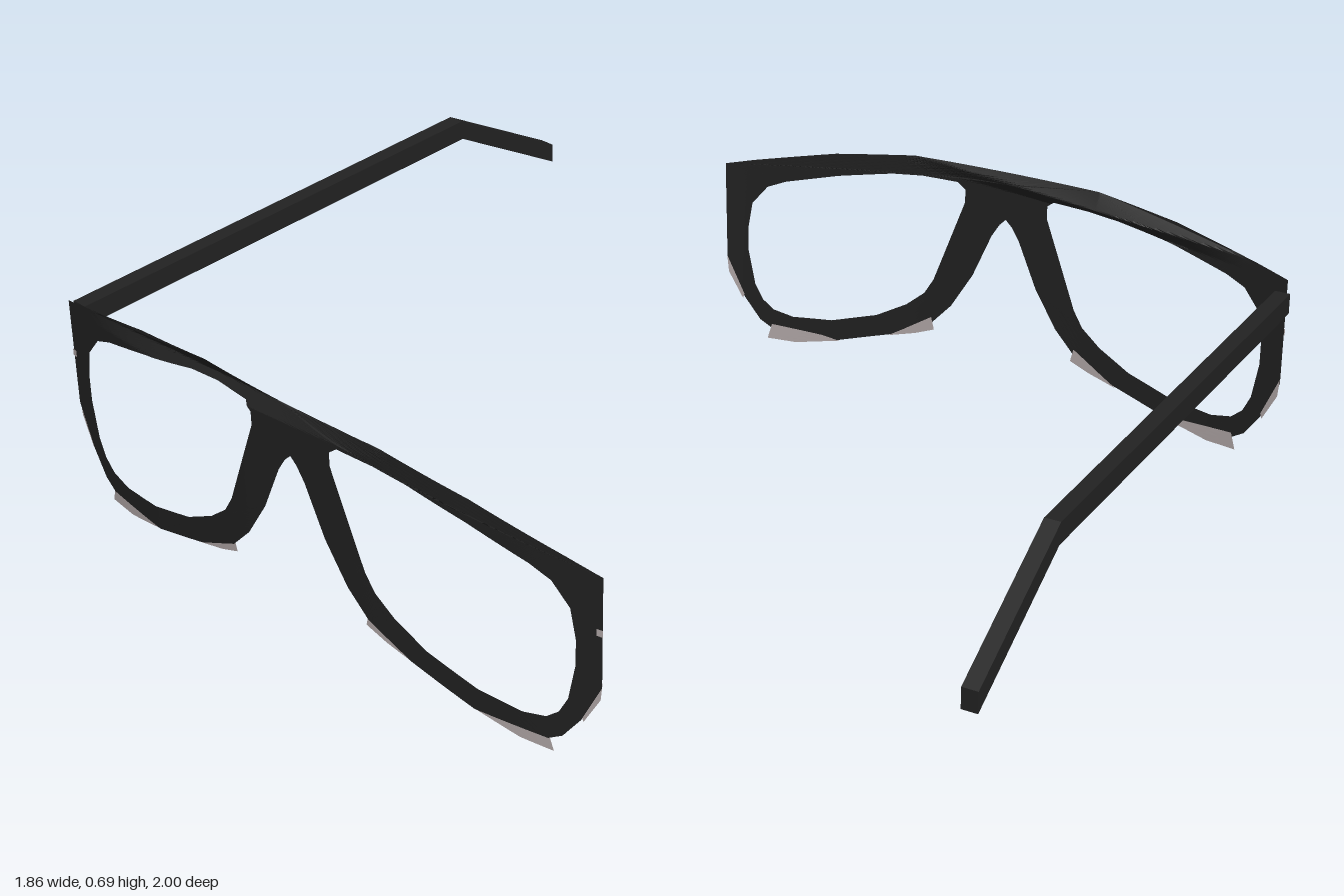
import * as THREE from 'three';

const black = new THREE.MeshStandardMaterial({ color: 0x222222, side: THREE.DoubleSide });
black.name = 'black';
const grey = new THREE.MeshStandardMaterial({ color: 0xb5abab, side: THREE.DoubleSide });
grey.name = 'warmGrey';

const CENTRE = 0.005; // mirror axis of the front
const mirror = (pts) => pts.map(([x, y]) => [2 * CENTRE - x, y]).reverse();
const vectors = (pts) => pts.map(([x, y]) => new THREE.Vector2(x, y));

// Depth of the wrapped front, with a shallow crease along the brow
function depth(x, y) {
  let z = 1 - 0.105 * x * x;
  if (x > -0.78 && x < 0.3) {
    const crease = 0.6 + (x + 0.78) * 0.0787;
    const top = x < -0.3 ? 0.685 + (x + 0.3) * 0.177 : 0.685;
    const reach = y > crease ? Math.max(top - crease, 0.004) : 0.035;
    const w = Math.max(0, 1 - Math.abs(y - crease) / reach);
    z -= w * 0.105 * (x + 0.78) * (0.3 - x);
  }
  return z;
}

// Split every triangle in four, several times, then bend the flat sheet
function curvedSheet(outline, holes = [], levels = 4, offset = 0) {
  const shape = new THREE.Shape(vectors(outline));
  holes.forEach((h) => shape.holes.push(new THREE.Path(vectors(h))));
  const flat = new THREE.ShapeGeometry(shape).toNonIndexed().getAttribute('position');
  let tris = [];
  for (let i = 0; i < flat.count; i += 3) {
    tris.push([0, 1, 2].map((k) => new THREE.Vector2(flat.getX(i + k), flat.getY(i + k))));
  }
  const mid = (a, b) => a.clone().add(b).multiplyScalar(0.5);
  for (let n = 0; n < levels; n++) {
    tris = tris.flatMap(([a, b, c]) => {
      const ab = mid(a, b), bc = mid(b, c), ca = mid(c, a);
      return [[a, ab, ca], [ab, b, bc], [ca, bc, c], [ab, bc, ca]];
    });
  }
  const pos = tris.flat().flatMap((p) => [p.x, p.y, depth(p.x, p.y) + offset]);
  const geo = new THREE.BufferGeometry();
  geo.setAttribute('position', new THREE.Float32BufferAttribute(pos, 3));
  geo.computeVertexNormals();
  return geo;
}

export function createModel() {
  const model = new THREE.Group();
  model.name = 'glasses';
  const add = (name, geo, mat) => {
    const mesh = new THREE.Mesh(geo, mat);
    mesh.name = name;
    model.add(mesh);
  };

  // Front frame: half outline from brow round to the nose bridge, mirrored
  const half = [
    [-0.295, 0.685], [-0.555, 0.65], [-0.82, 0.593], [-0.915, 0.57], [-0.915, 0.25],
    [-0.86, 0.13], [-0.81, 0.06], [-0.77, 0.035], [-0.56, 0.028], [-0.37, 0.085],
    [-0.235, 0.15], [-0.17, 0.22], [-0.1, 0.335], [-0.04, 0.475], [-0.015, 0.515],
  ];
  const lens = [
    [-0.845, 0.365], [-0.83, 0.45], [-0.78, 0.51], [-0.72, 0.535], [-0.545, 0.58],
    [-0.37, 0.615], [-0.27, 0.625], [-0.155, 0.625], [-0.13, 0.605], [-0.13, 0.565],
    [-0.23, 0.295], [-0.26, 0.245], [-0.32, 0.195], [-0.42, 0.14], [-0.57, 0.095],
    [-0.7, 0.085], [-0.765, 0.1], [-0.8, 0.13], [-0.825, 0.18], [-0.845, 0.29],
  ];
  const outline = [...half, [CENTRE, 0.535], ...mirror(half)];
  add('frontFrame', curvedSheet(outline, [lens, mirror(lens)]), black);

  // Grey slivers showing under the rims and at the hinges
  const trims = {
    lowerTrim: [[-0.77, 0.05], [-0.785, 0], [-0.69, 0], [-0.545, 0.03], [-0.6, 0.04]],
    noseTrim: [[-0.235, 0.17], [-0.225, 0.13], [-0.29, 0.105], [-0.38, 0.08], [-0.33, 0.11]],
    sideTrim: [[-0.915, 0.265], [-0.91, 0.21], [-0.865, 0.125], [-0.86, 0.14]],
    hingePin: [[-0.917, 0.42], [-0.917, 0.4], [-0.9, 0.4], [-0.9, 0.42]],
  };
  for (const [name, pts] of Object.entries(trims)) {
    const offset = name === 'hingePin' ? 0.002 : -0.002;
    add(name + 'Right', curvedSheet(pts, [], 2, offset), grey);
    add(name + 'Left', curvedSheet(mirror(pts), [], 2, offset), grey);
  }

  // Single temple arm on the right, bent down behind the ear
  const side = [
    [-0.88, 0.485], [0.59, 0.455], [1, 0.21], [1, 0.27], [0.585, 0.515], [-0.88, 0.545],
  ];
  const arm = new THREE.ExtrudeGeometry(new THREE.Shape(vectors(side)), {
    depth: 0.045, bevelEnabled: false,
  });
  arm.rotateY(Math.PI / 2).translate(-0.936, 0, 0);
  add('templeArm', arm, black);

  return model;
}
